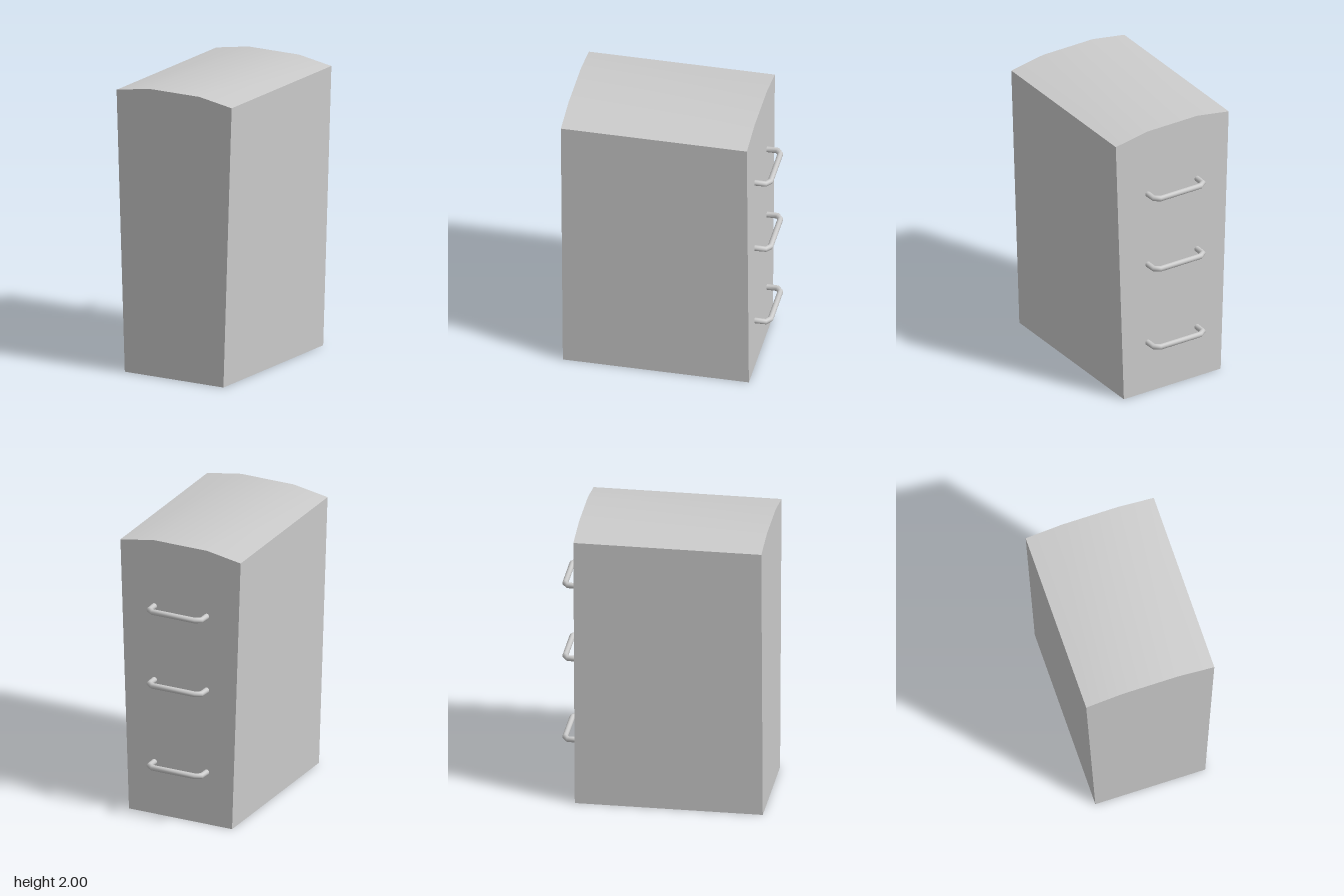
import * as THREE from 'three';
import { toCreasedNormals } from 'three/addons/utils/BufferGeometryUtils.js';

const FRONT = 0.7, BACK = -0.58;
// Cross-section from the bottom right, over the gently arched top, to the bottom left
const PROFILE = [[-0.39, 0], [-0.455, 1.957], [-0.2, 2], [0.2, 2], [0.455, 1.957], [0.39, 0]];

// Rings of the tube land exactly on the given points, keeping the bends angular
class BentBar extends THREE.Curve {
  constructor(points) {
    super();
    this.points = points;
  }
  getPointAt(u) {
    return this.points[Math.round(u * (this.points.length - 1))].clone();
  }
  getTangentAt(u) {
    const p = this.points, i = Math.round(u * (p.length - 1));
    const tangent = new THREE.Vector3();
    if (i > 0) tangent.add(p[i].clone().sub(p[i - 1]).normalize());
    if (i < p.length - 1) tangent.add(p[i + 1].clone().sub(p[i]).normalize());
    return tangent.normalize();
  }
}

// Side walls and top as one strip, open underneath
function shellGeometry() {
  const positions = [];
  for (let i = 0; i < PROFILE.length - 1; i++) {
    const [x0, y0] = PROFILE[i], [x1, y1] = PROFILE[i + 1];
    positions.push(x0, y0, FRONT, x1, y1, FRONT, x1, y1, BACK);
    positions.push(x0, y0, FRONT, x1, y1, BACK, x0, y0, BACK);
  }
  const geometry = new THREE.BufferGeometry();
  geometry.setAttribute('position', new THREE.Float32BufferAttribute(positions, 3));
  return toCreasedNormals(geometry, Math.PI / 6);
}

export function createModel() {
  const model = new THREE.Group();
  model.name = 'cabinet';
  const material = new THREE.MeshStandardMaterial({ color: 0xcccccc, side: THREE.DoubleSide });
  const add = (name, geometry) => {
    const mesh = new THREE.Mesh(geometry, material);
    mesh.name = name;
    model.add(mesh);
    return mesh;
  };

  add('sidesAndTop', shellGeometry());

  // End panels
  const panel = new THREE.ShapeGeometry(new THREE.Shape(PROFILE.map(([x, y]) => new THREE.Vector2(x, y))));
  add('frontPanel', panel).position.z = FRONT;
  const backPanel = add('backPanel', panel);
  backPanel.rotation.y = Math.PI;
  backPanel.position.z = BACK;

  // Three bent bar handles on the back
  const half = [[0.198, BACK], [0.196, -0.655], [0.16, -0.68]];
  const path = [...half.map(([x, z]) => [-x, z]), ...half.slice().reverse()];
  const bar = new BentBar(path.map(([x, z]) => new THREE.Vector3(x, 0, z)));
  const handle = new THREE.TubeGeometry(bar, path.length - 1, 0.02, 10, false);
  ['lowerHandle', 'middleHandle', 'upperHandle'].forEach((name, i) => {
    add(name, handle).position.y = [0.38, 0.98, 1.52][i];
  });

  return model;
}
